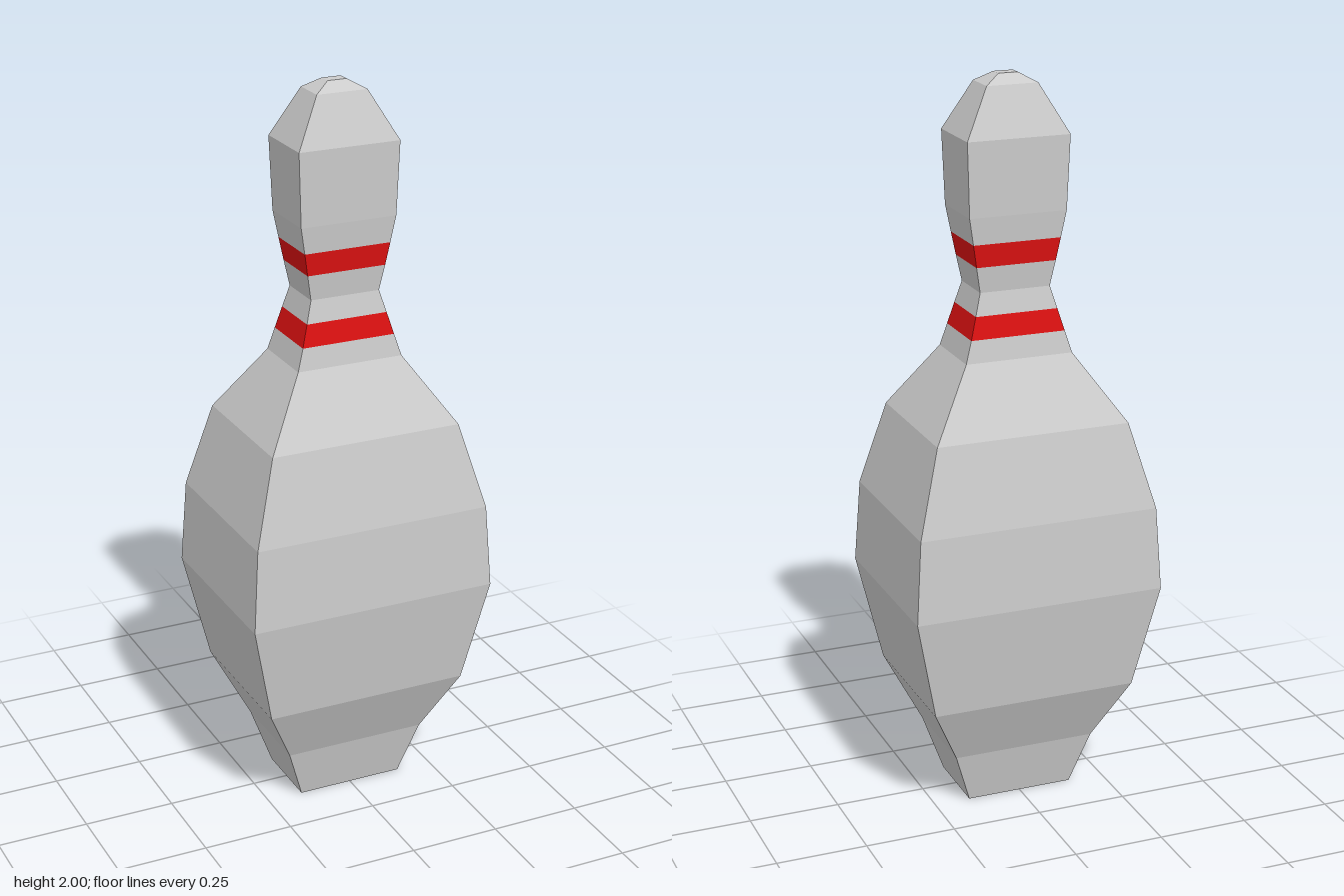
import * as THREE from 'three';

// Square-sided loft through rings of [y, half width, half depth], with flat facets
function loft(rings, capBottom, capTop) {
  const pos = [];
  const corners = ([y, w, d]) => [[w, y, d], [w, y, -d], [-w, y, -d], [-w, y, d]];
  const quad = (a, b, c, d) => pos.push(...a, ...b, ...c, ...a, ...c, ...d);
  for (let r = 0; r < rings.length - 1; r++) {
    const lo = corners(rings[r]), hi = corners(rings[r + 1]);
    for (let i = 0; i < 4; i++) {
      const j = (i + 1) % 4;
      quad(lo[i], lo[j], hi[j], hi[i]);
    }
  }
  if (capBottom) quad(...corners(rings[0]).reverse());
  if (capTop) quad(...corners(rings[rings.length - 1]));
  const geo = new THREE.BufferGeometry();
  geo.setAttribute('position', new THREE.Float32BufferAttribute(pos, 3));
  geo.computeVertexNormals();
  return geo;
}

export function createModel() {
  const group = new THREE.Group();
  group.name = 'bowlingPin';
  const grey = new THREE.MeshStandardMaterial({ color: 0xcccccc, flatShading: true });
  const red = new THREE.MeshStandardMaterial({ color: 0xdd1111, flatShading: true });

  // Rings shared by neighbouring parts, at the stripe edges
  const a = [1.32, 0.132, 0.09], b = [1.38, 0.115, 0.079];
  const c = [1.51, 0.111, 0.076], d = [1.572, 0.122, 0.083];

  const add = (name, material, rings, capBottom = false, capTop = false) => {
    const mesh = new THREE.Mesh(loft(rings, capBottom, capTop), material);
    mesh.name = name;
    group.add(mesh);
  };

  // Belly with a flat base
  add('body', grey, [
    [0, 0.15, 0.103], [0.15, 0.2, 0.137], [0.325, 0.287, 0.215], [0.615, 0.35, 0.257],
    [0.845, 0.335, 0.248], [1.08, 0.27, 0.202], [1.26, 0.15, 0.099], a,
  ], true);
  add('lowerStripe', red, [a, b]);
  add('neck', grey, [b, [1.44, 0.098, 0.067], c]);
  add('upperStripe', red, [c, d]);
  // Rounded head with a small flat top
  add('head', grey, [
    d, [1.645, 0.135, 0.09], [1.845, 0.142, 0.095], [1.975, 0.071, 0.048], [2, 0.027, 0.018],
  ], false, true);

  return group;
}
